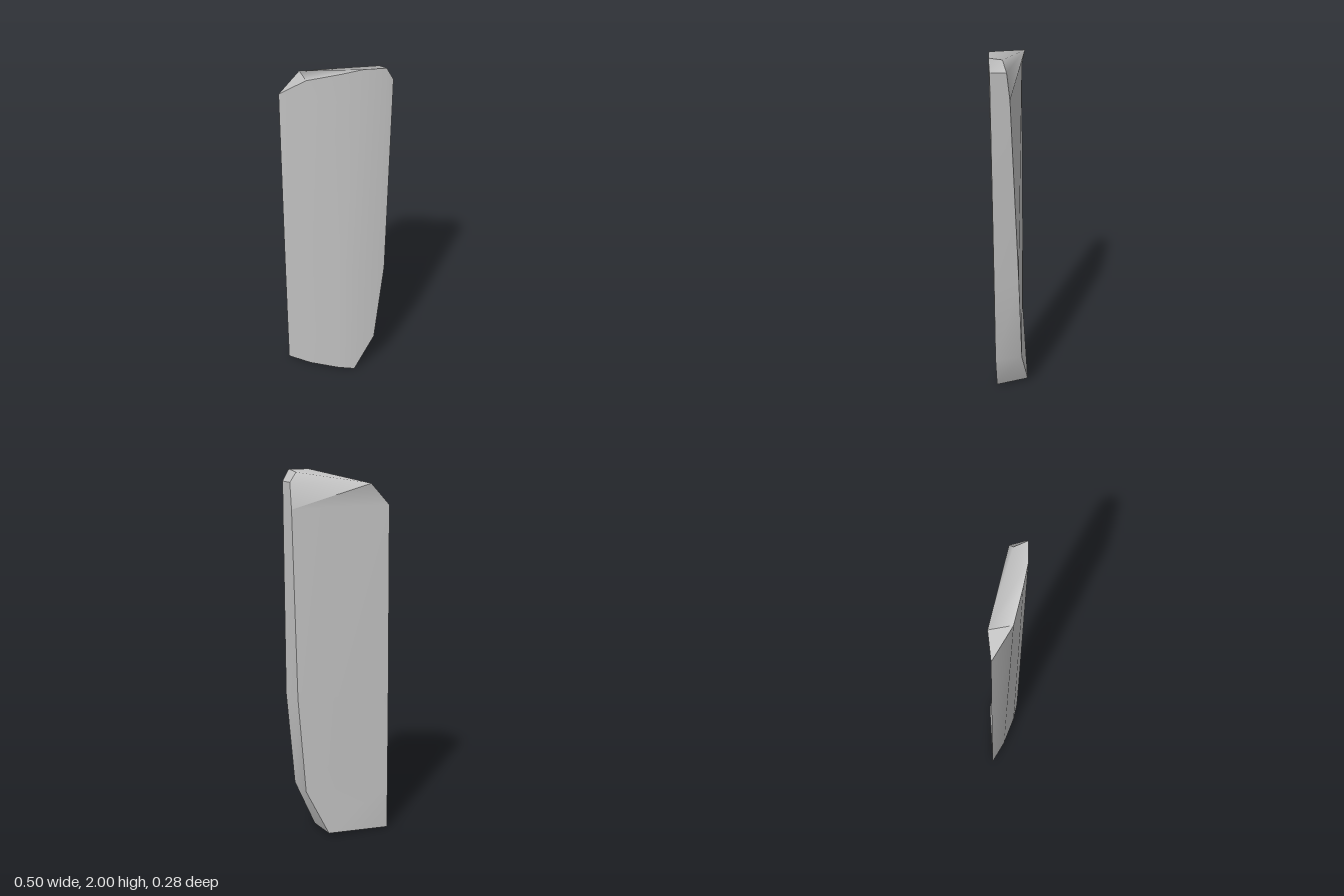
import * as THREE from 'three';

const lerp = THREE.MathUtils.lerp;

// Piecewise-linear lookup
function sample(xs, vs, x) {
  if (x <= xs[0]) return vs[0];
  for (let i = 1; i < xs.length; i++)
    if (x <= xs[i]) return lerp(vs[i - 1], vs[i], (x - xs[i - 1]) / (xs[i] - xs[i - 1]));
  return vs[vs.length - 1];
}

// Indexed surface with smooth normals; collapsed triangles are dropped
function surface(points, triangles) {
  const v = points.map((p) => new THREE.Vector3(...p));
  const index = triangles.filter(([a, b, c]) =>
    v[a].distanceTo(v[b]) > 1e-4 && v[b].distanceTo(v[c]) > 1e-4 && v[c].distanceTo(v[a]) > 1e-4);
  const g = new THREE.BufferGeometry().setFromPoints(v);
  g.setIndex(index.flat());
  g.computeVertexNormals();
  return g;
}

// Rows run upward, columns run to the right as seen from outside
function grid(rows) {
  const n = rows[0].length, tris = [];
  for (let i = 0; i < rows.length - 1; i++)
    for (let j = 0; j < n - 1; j++) {
      const a = i * n + j, b = a + 1, c = b + n, d = a + n;
      tris.push([a, b, c], [a, c, d]);
    }
  return surface(rows.flat(), tris);
}

function fan(hub, rim) {
  return surface([hub, ...rim], rim.slice(1).map((_, i) => [0, i + 1, i + 2]));
}

export function createModel() {
  const group = new THREE.Group();
  const stone = new THREE.MeshStandardMaterial({ color: 0xc0c0c0 });
  const add = (name, geometry) => {
    const mesh = new THREE.Mesh(geometry, stone);
    mesh.name = name;
    group.add(mesh);
  };

  // Curved front: depth profile at the foot and at the top
  const columns = [-0.25, -0.14, 0.01, 0.105, 0.21, 0.25];
  const footZ = [-0.14, -0.043, 0.05, 0.092, 0.113, 0.119];
  const topZ = [-0.12, 0.005, 0.075, 0.115, 0.135, 0.137];
  const front = (x, y) =>
    [x, y, lerp(sample(columns, footZ, x), sample(columns, topZ, x), y / 2)];

  // Height, front right limit, left limit of each section
  const sections = [[0, 0.1, -0.25], [0.27, 0.21, -0.25], [0.8, 0.25, -0.249], [1.82, 0.246, -0.245]];
  const frontRows = sections.map(([y, right, left]) =>
    columns.map((x) => front(Math.max(left, Math.min(x, right)), y)));
  const topY = [1.82, 1.93, 1.972, 2, 2, 1.94];
  const crown = columns.map((x, i) => front(THREE.MathUtils.clamp(x, -0.245, 0.245), topY[i]));

  // Back corner line and upper back points
  const back = [[0.1, 0.02, -0.095], [0.21, 0.27, -0.035], [0.24, 0.8, -0.008], [0.24, 1.8, 0.04]];
  const backCorner = [0.24, 1.935, 0.056];
  const backTop = [0.2, 1.985, 0.068];
  const backLeft = [-0.14, 1.93, -0.11];
  const leftEdge = frontRows.map((r) => r[0]);
  const rightEdge = frontRows.map((r) => r[5]);

  add('frontFace', grid([...frontRows, crown]));
  add('sideFace', grid([...back.map((b, i) => [rightEdge[i], b]), [crown[5], backCorner]]));
  add('backFace', grid([...back.map((b, i) => [b, leftEdge[i]]), [back[3], backLeft]]));

  // Sloping top with its bevelled corners
  add('topFace', fan(backLeft, [...crown.slice(1, 5), backTop, backCorner, back[3]]));
  add('topLeftBevel', fan(leftEdge[3], [crown[1], backLeft]));
  add('topRightBevel', grid([[crown[5], backCorner], [crown[4], backTop]]));

  // Underside
  add('base', fan(back[0], [...frontRows[0]].reverse()));
  return group;
}
